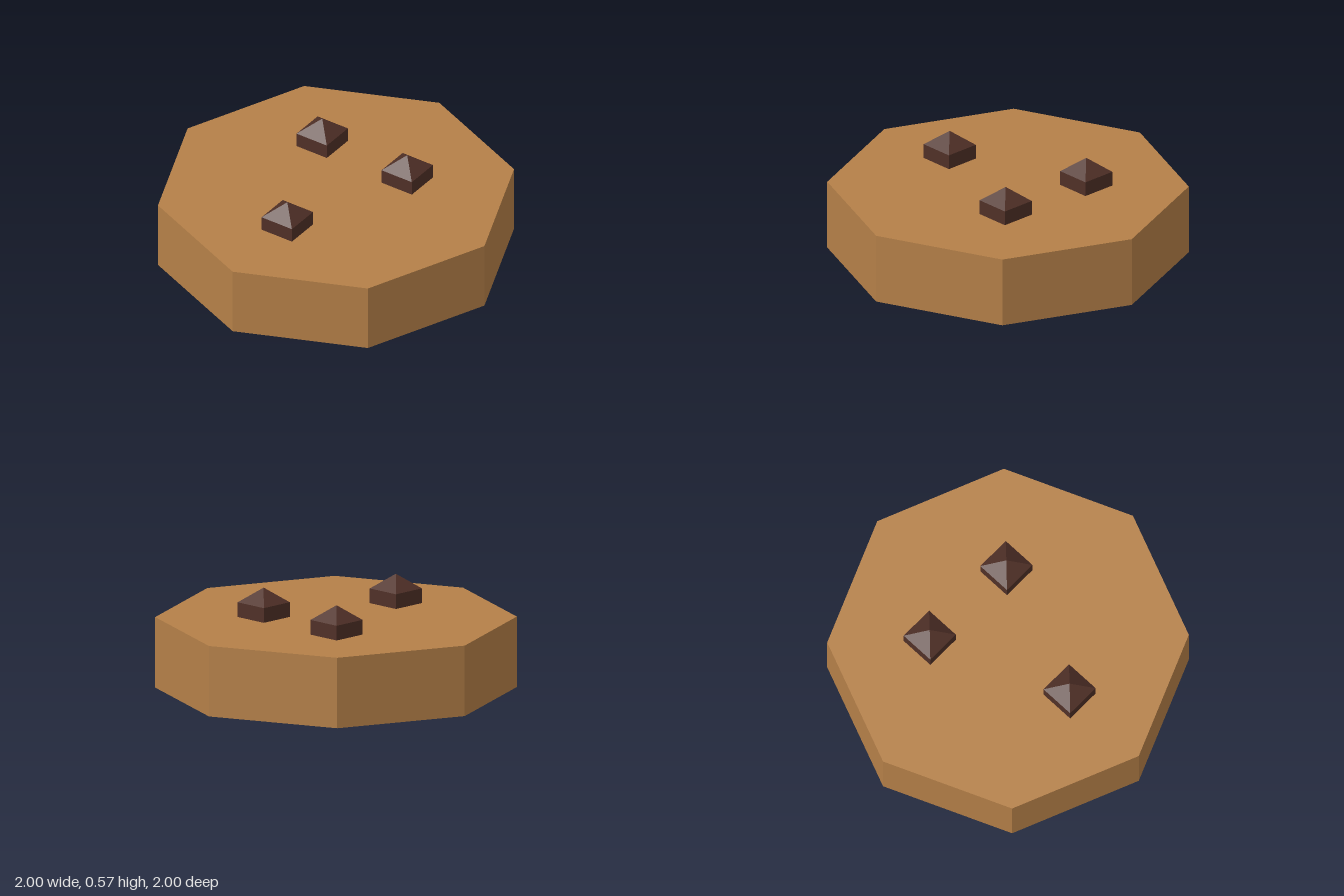
import * as THREE from 'three';

export function createModel() {
  const model = new THREE.Group();
  model.name = 'cookie';

  const dough = new THREE.MeshStandardMaterial({ color: 0xb58048, flatShading: true });
  dough.name = 'golden dough';
  const chocolate = new THREE.MeshStandardMaterial({ color: 0x503027, flatShading: true });
  chocolate.name = 'dark chocolate';

  // Eight-sided biscuit disc
  const base = new THREE.Mesh(new THREE.CylinderGeometry(1, 1, 0.4, 8), dough);
  base.name = 'biscuit';
  base.position.y = 0.2;
  model.add(base);

  // Low-poly chips, half sunk into the top
  const chipGeometry = new THREE.SphereGeometry(1 / 6, 4, 3);
  [[0.4, 0], [-0.333, 0.333], [0, -0.433]].forEach(([x, z], i) => {
    const chip = new THREE.Mesh(chipGeometry, chocolate);
    chip.name = `chocolateChip${i + 1}`;
    chip.position.set(x, 0.4, z);
    model.add(chip);
  });

  return model;
}
